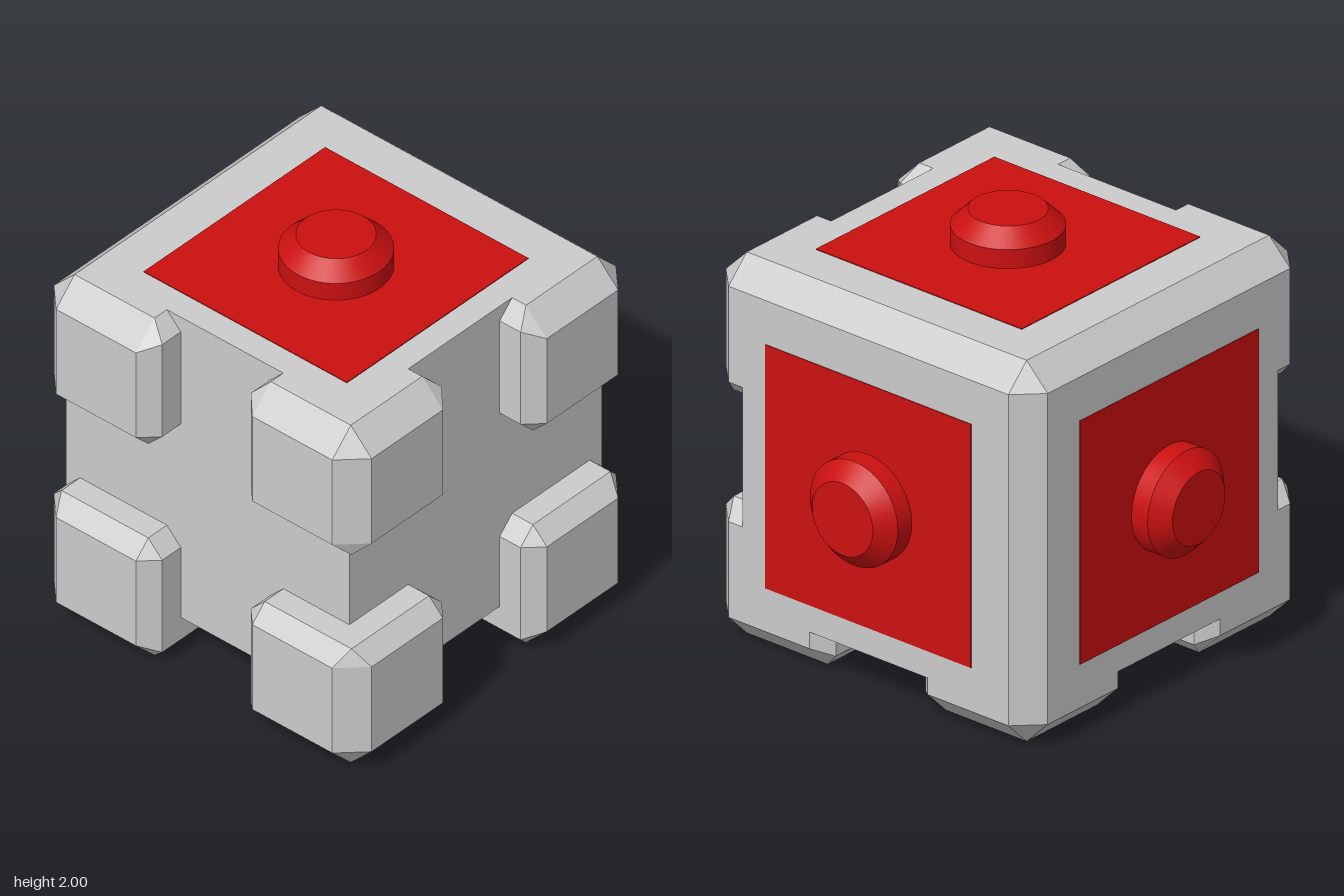
import * as THREE from 'three';
import { ConvexGeometry } from 'three/addons/geometries/ConvexGeometry.js';

const CENTRE = new THREE.Vector3(0.085, 0.915, 0.085);
const HALF = 0.915;
const CLOSED = [-1, 1, -1]; // the three button faces: -x, +y, -z

// Box with a bevel width chosen per edge: bevel(axisA, signA, axisB, signB)
function bevelledBox(min, max, bevel) {
  const points = [];
  for (const sx of [-1, 1]) for (const sy of [-1, 1]) for (const sz of [-1, 1]) {
    const s = [sx, sy, sz];
    for (let a = 0; a < 3; a++) {
      const b = (a + 1) % 3, c = (a + 2) % 3;
      const ab = bevel(a, s[a], b, s[b]);
      const ac = bevel(a, s[a], c, s[c]);
      // a face corner removed by the bevel running into it
      if (ab === 0 && ac === 0 && bevel(b, s[b], c, s[c]) > 0) continue;
      const p = s.map((sign, i) => (sign > 0 ? max[i] : min[i]));
      p[b] -= s[b] * ab;
      p[c] -= s[c] * ac;
      if (!points.some((q) => q.distanceTo(new THREE.Vector3(...p)) < 1e-5)) {
        points.push(new THREE.Vector3(...p));
      }
    }
  }
  return new ConvexGeometry(points);
}

export function createModel() {
  const model = new THREE.Group();
  const grey = new THREE.MeshStandardMaterial({ color: 0xcccccc, flatShading: true });
  const red = new THREE.MeshStandardMaterial({ color: 0xcc1010 });

  const add = (parent, name, geometry, material) => {
    const mesh = new THREE.Mesh(geometry, material);
    mesh.name = name;
    parent.add(mesh);
    return mesh;
  };

  // Core: full height on the button faces, recessed on the other three
  const isClosed = (axis, sign) => CLOSED[axis] === sign;
  add(model, 'core', bevelledBox([-0.83, 0.2, -0.83], [0.8, 1.83, 0.8],
    (a, sa, b, sb) => (isClosed(a, sa) && isClosed(b, sb) ? 0.12 : 0)), grey);

  // Corner blocks, wide bevels outside and narrow ones along the channels
  const size = 0.66;
  const centre = CENTRE.toArray();
  for (const x of [-1, 1]) for (const y of [-1, 1]) for (const z of [-1, 1]) {
    const corner = [x, y, z];
    if (corner.every((s, i) => s === CLOSED[i])) continue;
    const min = corner.map((s, i) => (s > 0 ? centre[i] + HALF - size : centre[i] - HALF));
    const max = min.map((v) => v + size);
    add(model, 'cornerBlock', bevelledBox(min, max,
      (a, sa, b, sb) => (sa === corner[a] && sb === corner[b] ? 0.12 : 0.08)), grey);
  }

  // Red panel with a round button, turned onto each closed face
  const faces = [
    ['top', 0, 0],
    ['back', -Math.PI / 2, 0],
    ['right', 0, Math.PI / 2],
  ];
  for (const [name, rx, rz] of faces) {
    const face = new THREE.Group();
    face.name = name + 'Button';
    face.position.copy(CENTRE);
    face.rotation.set(rx, 0, rz);
    add(face, 'panel', new THREE.BoxGeometry(1.17, 0.02, 1.17), red).position.y = HALF - 0.006;
    add(face, 'buttonBase', new THREE.CylinderGeometry(0.25, 0.25, 0.1, 48), red).position.y = HALF + 0.045;
    add(face, 'buttonCap', new THREE.CylinderGeometry(0.173, 0.25, 0.075, 48), red).position.y = HALF + 0.1325;
    model.add(face);
  }
  return model;
}
